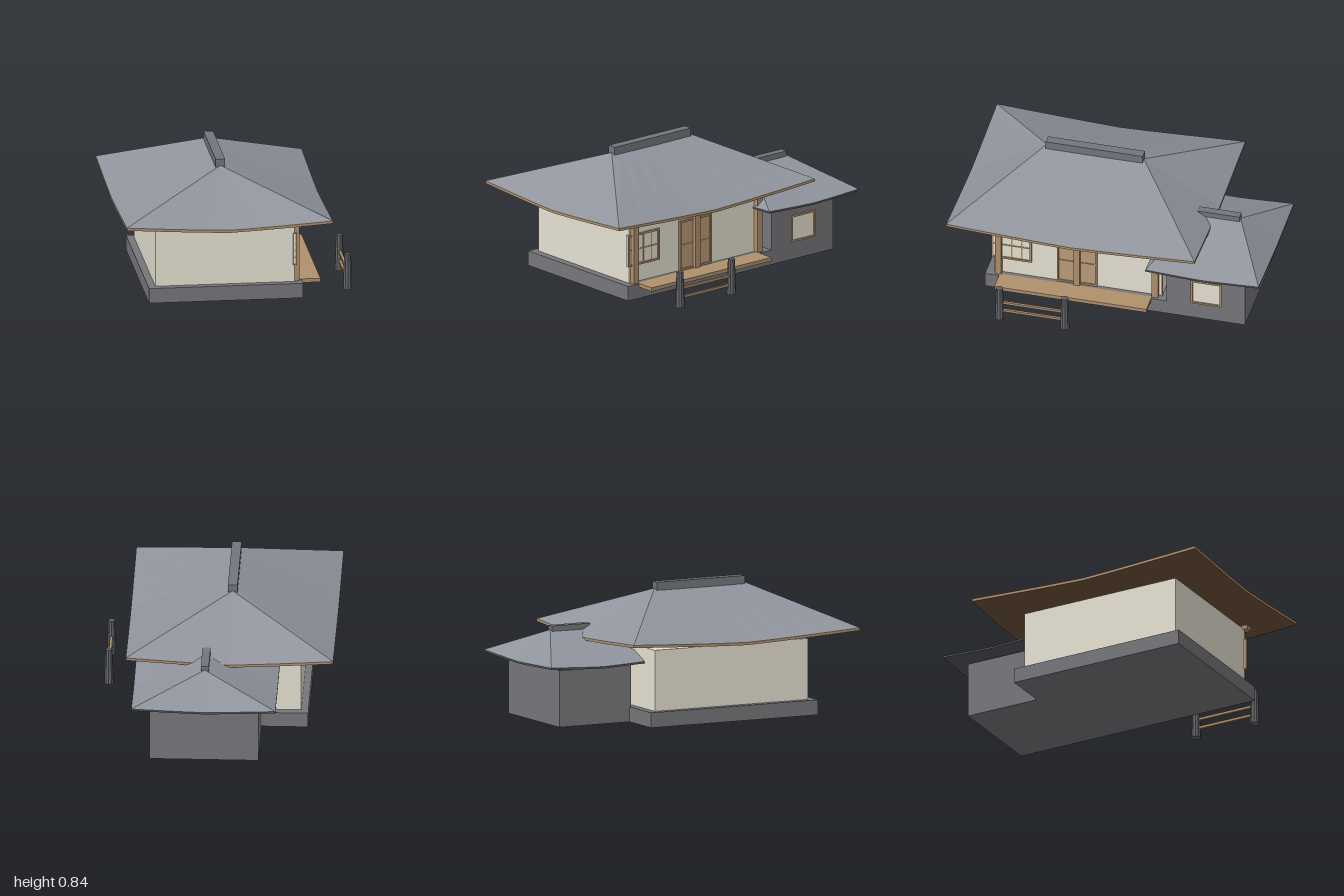
import * as THREE from 'three';

const mat = (color, extra = {}) => new THREE.MeshStandardMaterial({ color, ...extra });
const M = {
  slate: mat(0x8f949d, { side: THREE.DoubleSide }),
  ridge: mat(0x73767c),
  stone: mat(0x77767b),
  plaster: mat(0xe6e1d2),
  wood: mat(0xb0906c),
  trim: mat(0xb0906c, { side: THREE.DoubleSide }),
  door: mat(0xbb9d78),
  soffit: mat(0x6e553a, { side: THREE.DoubleSide }),
  darkSoffit: mat(0x55575c, { side: THREE.DoubleSide }),
  post: mat(0x63656a, { flatShading: true }),
};

// Box given by its minimum and maximum on each axis
function box(parent, name, material, [x0, x1], [y0, y1], [z0, z1]) {
  const mesh = new THREE.Mesh(new THREE.BoxGeometry(x1 - x0, y1 - y0, z1 - z0), material);
  mesh.position.set((x0 + x1) / 2, (y0 + y1) / 2, (z0 + z1) / 2);
  mesh.name = name;
  parent.add(mesh);
  return mesh;
}

function triMesh(parent, name, material, points) {
  const geo = new THREE.BufferGeometry().setFromPoints(points);
  geo.computeVertexNormals();
  const mesh = new THREE.Mesh(geo, material);
  mesh.name = name;
  parent.add(mesh);
}

// Hipped roof whose eaves sag between raised corners
function hipRoof(name, o) {
  const g = new THREE.Group();
  g.name = name;
  const { cx, cz, hw, hd } = o;
  const corners = [[-1, 1], [1, 1], [1, -1], [-1, -1]];
  const ridge = [o.ridgeZ[1], o.ridgeZ[1], o.ridgeZ[0], o.ridgeZ[0]];
  const N = 8;
  const eave = [], top = [];
  corners.forEach(([ax, az], c) => {
    const [bx, bz] = corners[(c + 1) % 4];
    for (let i = 0; i < N; i++) {
      const t = i / N;
      const lift = Math.pow(Math.abs(2 * t - 1), 1.2);
      eave.push(new THREE.Vector3(
        cx + hw * (ax + (bx - ax) * t),
        o.midY + (o.cornerY - o.midY) * lift,
        cz + hd * (az + (bz - az) * t)));
      top.push(new THREE.Vector3(cx, o.ridgeY, ridge[c] + (ridge[(c + 1) % 4] - ridge[c]) * t));
    }
  });
  const lower = (p, d) => new THREE.Vector3(p.x, p.y - d, p.z);
  const center = new THREE.Vector3(cx, o.midY - o.edge, cz);
  const tiles = [], fascia = [], under = [];
  const n = eave.length;
  for (let i = 0; i < n; i++) {
    const j = (i + 1) % n;
    const a = eave[i], b = eave[j], ta = top[i];
    // the last strip of each side ends on the next side's ridge point
    const tb = top[j];
    const a1 = lower(a, o.edge), b1 = lower(b, o.edge);
    tiles.push(a, b, tb);
    if (ta.distanceTo(tb) > 1e-6) tiles.push(a, tb, ta);
    fascia.push(a1, b1, b, a1, b, a);
    under.push(b1, a1, center);
  }
  triMesh(g, 'roofTiles', M.slate, tiles);
  triMesh(g, 'eaveEdge', o.edgeMat, fascia);
  triMesh(g, 'roofUnderside', o.underMat, under);
  const r = o.ridgeHalf;
  box(g, 'ridgeCap', M.ridge, [cx - r, cx + r], [o.ridgeY - 0.02, o.ridgeY + o.ridgeH], o.ridgeZ);
  return g;
}

// Rectangular frame on a wall facing +x, with a pane and glazing bars
function framed(name, pane, x, [y0, y1], [z0, z1], w, cols, rows) {
  const g = new THREE.Group();
  g.name = name;
  const fx = [x - 0.01, x + 0.012], bx = [x - 0.01, x + 0.008];
  box(g, 'pane', pane, [x - 0.01, x + 0.004], [y0, y1], [z0, z1]);
  for (const y of [y0, y1 - w]) box(g, 'frameRail', M.wood, fx, [y, y + w], [z0, z1]);
  for (const z of [z0, z1 - w]) box(g, 'frameStile', M.wood, fx, [y0, y1], [z, z + w]);
  for (let i = 1; i < cols; i++) {
    const z = z0 + (z1 - z0) * i / cols;
    box(g, 'verticalBar', M.wood, bx, [y0, y1], [z - 0.004, z + 0.004]);
  }
  for (let i = 1; i < rows; i++) {
    const y = y0 + (y1 - y0) * i / rows;
    box(g, 'crossBar', M.wood, bx, [y - 0.004, y + 0.004], [z0, z1]);
  }
  return g;
}

export function createModel() {
  const house = new THREE.Group();
  house.name = 'house';

  // Main building
  box(house, 'stoneBase', M.stone, [-0.57, 0.4], [0, 0.095], [-0.39, 0.79]);
  box(house, 'plasterWalls', M.plaster, [-0.525, 0.352], [0.095, 0.48], [-0.34, 0.742]);
  house.add(hipRoof('mainRoof', {
    cx: -0.087, cz: 0.2, hw: 0.648, hd: 0.8, cornerY: 0.557, midY: 0.52, edge: 0.017,
    ridgeY: 0.8, ridgeH: 0.04, ridgeHalf: 0.03, ridgeZ: [-0.11, 0.515],
    edgeMat: M.trim, underMat: M.soffit,
  }));

  // Porch side: posts, beam, window, door and deck
  for (const z of [0.71, 0.205, -0.3])
    box(house, 'porchPost', M.wood, [0.352, 0.384], [0.095, 0.48], [z - 0.02, z + 0.02]);
  box(house, 'porchBeam', M.wood, [0.335, 0.385], [0.475, 0.502], [-0.36, 0.77]);
  box(house, 'cornerTrim', M.wood, [0.345, 0.356], [0.095, 0.48], [-0.342, -0.334]);
  house.add(framed('latticeWindow', M.plaster, 0.352, [0.205, 0.41], [0.5, 0.757], 0.012, 4, 2));
  house.add(framed('slidingDoor', M.door, 0.352, [0.095, 0.42], [0.077, 0.337], 0.012, 2, 2));
  box(house, 'deck', M.wood, [0.38, 0.52], [0.073, 0.097], [-0.28, 0.7]);

  // Rear annex
  box(house, 'annexWalls', M.stone, [-0.28, 0.4], [0, 0.357], [-0.885, -0.38]);
  house.add(framed('annexWindow', M.plaster, 0.398, [0.115, 0.29], [-0.735, -0.537], 0.012, 1, 1));
  house.add(hipRoof('annexRoof', {
    cx: 0.06, cz: -0.635, hw: 0.45, hd: 0.365, cornerY: 0.396, midY: 0.38, edge: 0.012,
    ridgeY: 0.565, ridgeH: 0.025, ridgeHalf: 0.025, ridgeZ: [-0.77, -0.5],
    edgeMat: M.darkSoffit, underMat: M.darkSoffit,
  }));

  // Hitching rail
  const rail = new THREE.Group();
  rail.name = 'hitchingRail';
  for (const z of [0.2, 0.62]) {
    const post = new THREE.Mesh(new THREE.CylinderGeometry(0.022, 0.03, 0.23, 10), M.post);
    post.name = 'railPost';
    post.position.set(0.7, 0.115, z);
    rail.add(post);
  }
  for (const y of [0.063, 0.122])
    box(rail, 'crossRail', M.wood, [0.692, 0.708], [y - 0.008, y + 0.008], [0.2, 0.62]);
  house.add(rail);

  return house;
}
